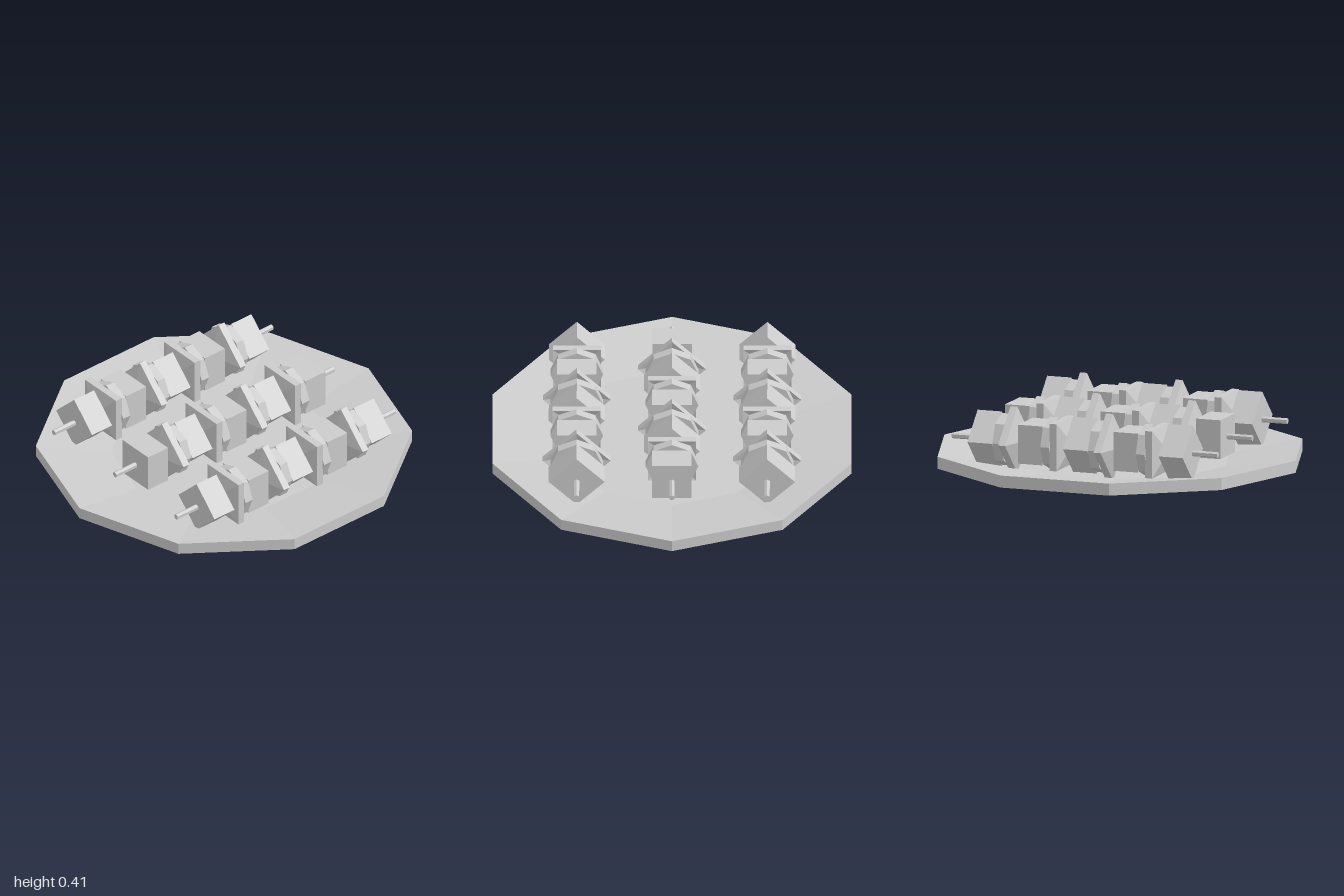
import * as THREE from 'three';

const AXIS_Y = 0.225;   // height of the skewers
const STEP = 0.272;     // spacing of the cubes along a skewer

function material() {
  return new THREE.MeshStandardMaterial({ color: 0xcccccc, flatShading: true, side: THREE.DoubleSide });
}

function lathe(points, sides) {
  return new THREE.LatheGeometry(points.map(([r, y]) => new THREE.Vector2(r, y)), sides);
}

export function createModel() {
  const model = new THREE.Group();
  const mat = material();

  function add(parent, name, geometry, x, y, z, turn = 0) {
    const mesh = new THREE.Mesh(geometry, mat);
    mesh.name = name;
    mesh.position.set(x, y, z);
    mesh.rotation.z = turn;
    parent.add(mesh);
    return mesh;
  }

  // Ten-sided dished plate, hollow underneath its foot
  const plate = lathe([[0.6, 0], [1, 0.055], [1, 0.12], [0.6, 0.062], [0, 0.062]], 10);
  add(model, 'plate', plate, 0, 0, 0);

  // Shared pieces, all with their axis along z
  const stick = new THREE.CylinderGeometry(0.016, 0.016, 1.51, 6).rotateX(Math.PI / 2);
  const cube = new THREE.BoxGeometry(0.21, 0.21, 0.138);
  const slice = new THREE.CylinderGeometry(0.14, 0.14, 0.05, 8).rotateX(Math.PI / 2);
  // Shallow four-sided shell, bulging toward the front
  const shell = lathe([[0, 0], [0.18, -0.04], [0.18, 0], [0, 0.045]], 4).rotateX(Math.PI / 2);

  [-0.505, 0, 0.505].forEach((x, column) => {
    const skewer = new THREE.Group();
    skewer.name = 'skewer';
    skewer.position.set(x, AXIS_Y, 0);
    model.add(skewer);
    add(skewer, 'stick', stick, 0, 0, 0);

    for (let i = 0; i < 5; i++) {
      const z = (i - 2) * STEP;
      const turned = (i + column) % 2 === 0;
      add(skewer, 'meatCube', cube, 0, 0, z, turned ? Math.PI / 4 : 0);
      if (i === 4) continue;
      add(skewer, 'vegetableSlice', slice, 0, 0, z + 0.095);
      add(skewer, 'onionLayer', shell, 0, 0, z + 0.158, turned ? 0 : Math.PI / 4);
    }
  });

  return model;
}
